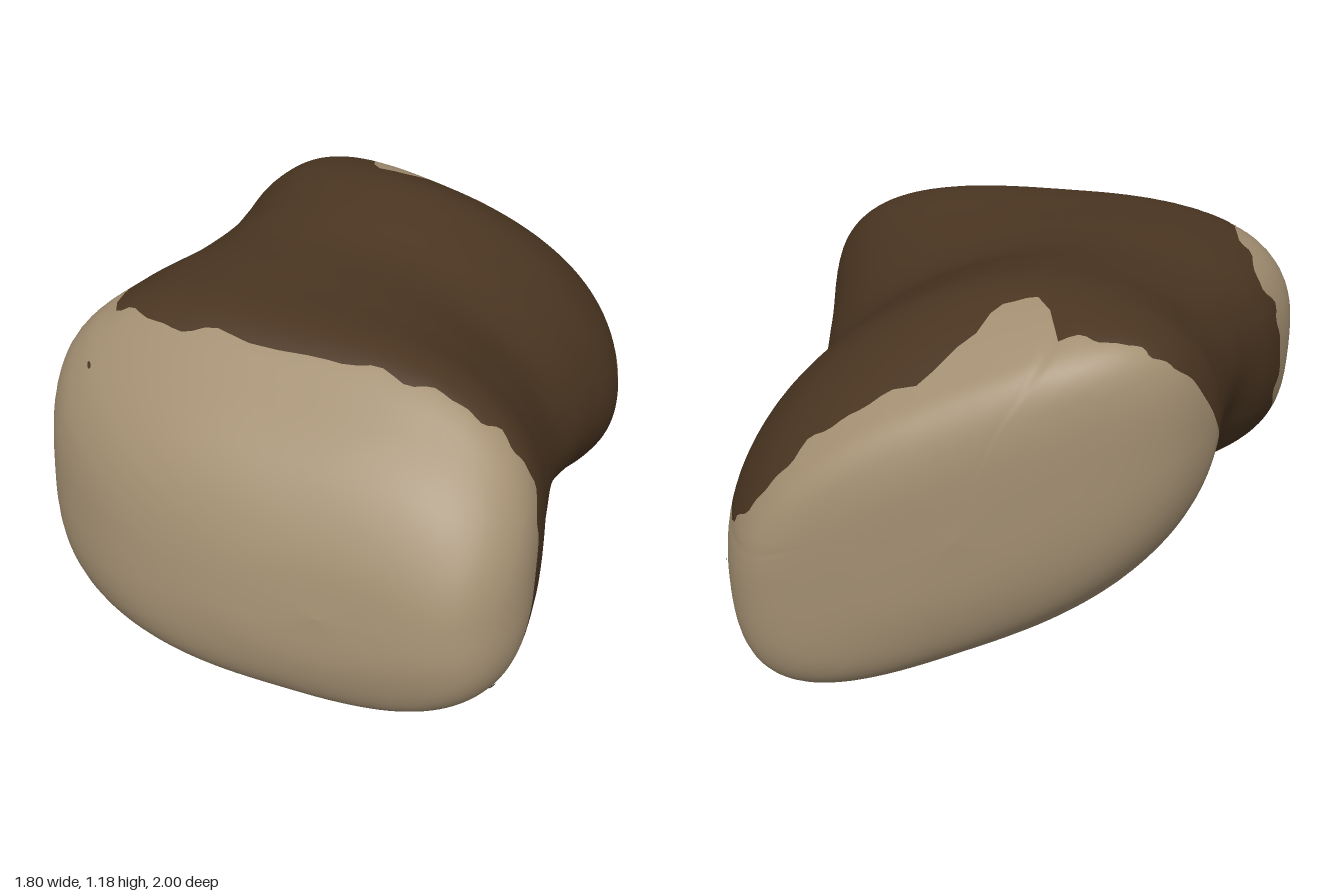
import * as THREE from 'three';

// Cross-sections from back to front:
// [left x, left z, right x, right z, bottom y, top y, shear, roundness, lean]
const SECTIONS = [
  [0.25, -1.00, 0.25, -1.00, 0.60, 0.60, 0.40, 2.5, 0],
  [-0.02, -0.995, 0.58, -0.975, 0.30, 0.92, 0.42, 3.0, 0],
  [-0.25, -0.95, 0.78, -0.93, 0.12, 1.07, 0.46, 2.8, 0],
  [-0.38, -0.88, 0.86, -0.85, 0.04, 1.13, 0.45, 2.6, 0],
  [-0.48, -0.76, 0.90, -0.66, 0.00, 1.165, 0.37, 2.2, 0],
  [-0.52, -0.64, 0.88, -0.48, 0.02, 1.18, 0.32, 1.95, 0],
  [-0.56, -0.50, 0.80, -0.28, 0.07, 1.155, 0.30, 1.9, 0],
  [-0.65, -0.30, 0.70, -0.02, 0.11, 1.115, 0.29, 2.0, 0],
  [-0.80, -0.07, 0.67, 0.33, 0.07, 1.11, 0.14, 2.4, 0.04],
  [-0.90, 0.20, 0.66, 0.65, 0.035, 1.09, 0.02, 2.9, 0.10],
  [-0.85, 0.42, 0.62, 0.83, 0.07, 0.98, 0.00, 2.9, 0.17],
  [-0.63, 0.66, 0.53, 0.94, 0.16, 0.84, 0.00, 2.8, 0.19],
  [-0.30, 0.83, 0.41, 0.985, 0.31, 0.66, 0.00, 2.6, 0.19],
  [0.06, 0.93, 0.06, 0.93, 0.48, 0.48, 0.00, 2.5, 0.19],
];

// Where the bark stops, as [angle in degrees, section position]
const BACK_EDGE = [[0, 4.15], [10, 4.5], [15, 4.1], [19, 3.3], [40, 2.9], [65, 3.1], [84, 3.1],
  [92, 3.6], [97, 4.2], [106, 4.3], [110, 3.1], [130, 2.9], [150, 2.9], [170, 3.5], [185, 4.4],
  [205, 5.5], [222, 5.6], [240, 5.0], [270, 4.3], [300, 4.5], [320, 4.1], [345, 4.1], [360, 4.15]];
const FRONT_EDGE = [[0, 9.4], [20, 9.15], [60, 9.3], [90, 9.4], [110, 9.35], [125, 9.0],
  [140, 8.35], [150, 8.0], [165, 8.05], [185, 8.2], [210, 8.75], [235, 9.1], [250, 9.25],
  [265, 9.7], [285, 9.9], [305, 9.9], [325, 9.4], [345, 9.65], [360, 9.4]];

// Bark flecks on the cut wood: [angle, section position, half angle, half length]
const FLECKS = [
  [5, 3.6, 1.5, 0.09], [-1, 3.6, 1.5, 0.09], [-8, 3.6, 1.2, 0.08], [-16, 3.6, 1.2, 0.08],
  [-48, 3.9, 2.5, 0.15], [-25, 10.3, 1.2, 0.1], [137, 9.8, 0.9, 0.06], [215, 4.2, 1, 0.3],
];

const COLS = 144;
const LAST = SECTIONS.length - 1;
const signedPow = (v, p) => Math.sign(v) * Math.pow(Math.abs(v), p);

// Point on a sheared superellipse section
function sectionPoint([xl, zl, xr, zr, yb, yt, shear, n, lean], angle) {
  const q = n / (n - 1);
  const c = signedPow(Math.cos(angle), 2 / n);
  const s = signedPow(Math.sin(angle), 2 / n);
  const k = Math.pow(1 - Math.pow(shear, q), 1 / q);
  const dy = (k * s - shear * c) * (yt - yb) / 2;
  const f = (c + 1) / 2;
  return new THREE.Vector3(xl + (xr - xl) * f, (yb + yt) / 2 + dy, zl + (zr - zl) * f - lean * dy);
}

// Lengthwise curve through all sections at one angle
function lengthCurve(deg) {
  const angle = THREE.MathUtils.degToRad(deg);
  return new THREE.CatmullRomCurve3(SECTIONS.map((s) => sectionPoint(s, angle)));
}

// Edge position at an angle, with a ragged wave added
function edgeAt(table, deg, phase) {
  const i = Math.max(1, table.findIndex((e) => e[0] >= deg));
  const [d0, u0] = table[i - 1];
  const [d1, u1] = table[i];
  const a = THREE.MathUtils.degToRad(deg);
  const wave = 0.05 * Math.sin(19 * a + phase) + 0.04 * Math.sin(31 * a + 2 * phase);
  return u0 + (u1 - u0) * THREE.MathUtils.smoothstep(deg, d0, d1) + wave;
}

// Thin disc wrapped onto the surface, lifted slightly
function fleckGeometry([deg, u, halfDeg, halfLength]) {
  const at = (d, w) => lengthCurve(d).getPoint(w / LAST);
  const across = at(deg + 1, u).sub(at(deg - 1, u));
  const along = at(deg, u + 0.1).sub(at(deg, u - 0.1));
  const lift = across.cross(along).setLength(0.005);
  const disc = new THREE.CircleGeometry(1, 8);
  const position = disc.getAttribute('position');
  for (let i = 0; i < position.count; i++) {
    const p = at(deg + position.getX(i) * halfDeg, u + position.getY(i) * halfLength).add(lift);
    position.setXYZ(i, p.x, p.y, p.z);
  }
  disc.computeVertexNormals();
  return disc;
}

export function createModel() {
  const barkMaterial = new THREE.MeshStandardMaterial({ color: 0x4a3521 });
  const woodMaterial = new THREE.MeshStandardMaterial({ color: 0xa38f72 });
  barkMaterial.name = 'bark brown';
  woodMaterial.name = 'cut wood tan';

  // Rows are split so that two of them follow the bark edges
  const backRows = 24, barkRows = 36, frontRows = 24;
  const rows = backRows + barkRows + frontRows;
  const points = [];
  for (let j = 0; j < COLS; j++) {
    const deg = (j / COLS) * 360;
    const curve = lengthCurve(deg);
    const back = edgeAt(BACK_EDGE, deg, 1);
    const front = edgeAt(FRONT_EDGE, deg, 4);
    for (let i = 0; i <= rows; i++) {
      let u;
      if (i <= backRows) u = back * i / backRows;
      else if (i <= backRows + barkRows) u = back + (front - back) * (i - backRows) / barkRows;
      else u = front + (LAST - front) * (i - backRows - barkRows) / frontRows;
      points.push(curve.getPoint(Math.min(1, u / LAST)));
    }
  }

  // Quads between neighbouring columns for a span of rows
  const stitch = (from, to) => {
    const index = [];
    for (let j = 0; j < COLS; j++) {
      const a = j * (rows + 1);
      const b = ((j + 1) % COLS) * (rows + 1);
      for (let i = from; i < to; i++) {
        index.push(a + i, b + i, a + i + 1, b + i, b + i + 1, a + i + 1);
      }
    }
    return index;
  };

  // Whole skin gives seamless normals for the three parts
  const skin = new THREE.BufferGeometry().setFromPoints(points);
  skin.setIndex(stitch(0, rows));
  skin.computeVertexNormals();

  const log = new THREE.Group();
  log.name = 'log';
  const addMesh = (name, geometry, material) => {
    const mesh = new THREE.Mesh(geometry, material);
    mesh.name = name;
    log.add(mesh);
  };
  const addPart = (name, from, to, material) => {
    const geometry = new THREE.BufferGeometry();
    geometry.setAttribute('position', skin.getAttribute('position'));
    geometry.setAttribute('normal', skin.getAttribute('normal'));
    geometry.setIndex(stitch(from, to));
    addMesh(name, geometry, material);
  };
  addPart('backCutEnd', 0, backRows, woodMaterial);
  addPart('bark', backRows, backRows + barkRows, barkMaterial);
  addPart('frontCutEnd', backRows + barkRows, rows, woodMaterial);
  FLECKS.forEach((fleck) => addMesh('barkFleck', fleckGeometry(fleck), barkMaterial));
  return log;
}
